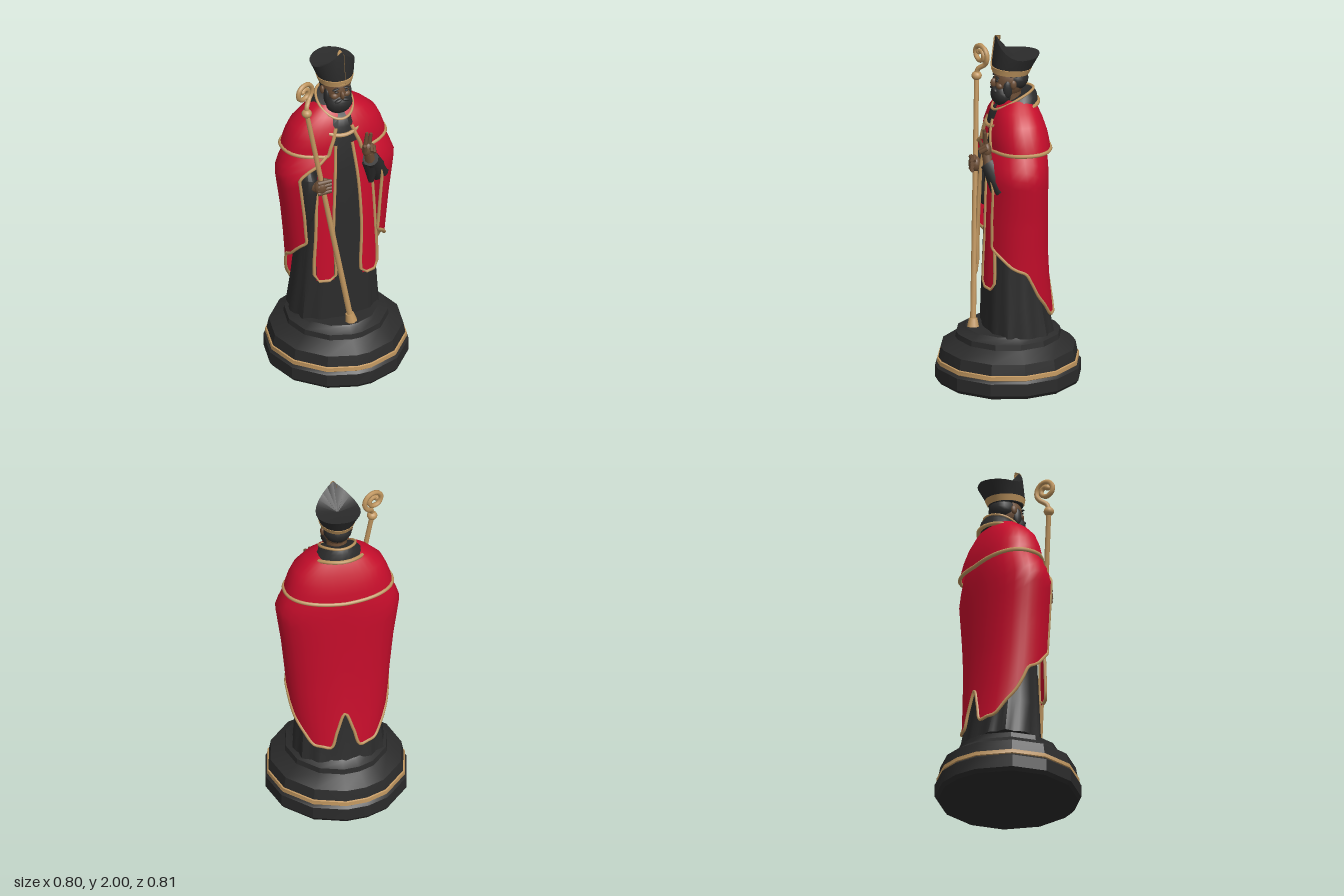
import * as THREE from 'three';
import { toCreasedNormals } from 'three/addons/utils/BufferGeometryUtils.js';

const V = (x, y, z) => new THREE.Vector3(x, y, z);
const rad = THREE.MathUtils.degToRad;

// Piecewise linear lookup in rows of [key, value, value...]
function lookup(table, k) {
  if (k <= table[0][0]) return table[0].slice(1);
  for (let i = 1; i < table.length; i++) {
    const a = table[i - 1], b = table[i];
    if (k <= b[0]) return a.slice(1).map((v, j) => v + (b[j + 1] - v) * (k - a[0]) / (b[0] - a[0]));
  }
  return table[table.length - 1].slice(1);
}

// Point on a rounded cross-section; deg 0 is the back, 90 the left, 180 the front
function oval(deg, y, a, zBack, zFront, pow = 1, zMid = (zBack + zFront) / 2) {
  const s = Math.sin(rad(deg)), c = Math.cos(rad(deg));
  const p = v => Math.sign(v) * Math.abs(v) ** pow;
  return V(a * p(s), y, zMid + p(c) * (c > 0 ? zBack - zMid : zMid - zFront));
}
const angles = (n, from = 0, to = 360) => Array.from({ length: n + 1 }, (_, i) => from + (to - from) * i / n);

// Surface through rows of points, rows running upwards; optional end caps
function loft(rows, cap = false, crease = 0.7) {
  const pos = [], idx = [], n = rows[0].length;
  rows.flat().forEach(p => pos.push(p.x, p.y, p.z));
  for (let i = 0; i < rows.length - 1; i++) for (let j = 0; j < n - 1; j++) {
    const a = i * n + j, b = a + n;
    idx.push(a, b, a + 1, a + 1, b, b + 1);
  }
  if (cap) [rows[0], rows[rows.length - 1]].forEach((row, top) => {
    const c = row.slice(1).reduce((s, p) => s.add(p), V(0, 0, 0)).divideScalar(n - 1);
    const k = pos.length / 3, o = top ? (rows.length - 1) * n : 0;
    pos.push(c.x, c.y, c.z);
    for (let j = 0; j < n - 1; j++) top ? idx.push(k, o + j + 1, o + j) : idx.push(k, o + j, o + j + 1);
  });
  const g = new THREE.BufferGeometry();
  g.setAttribute('position', new THREE.Float32BufferAttribute(pos, 3));
  g.setIndex(idx);
  return toCreasedNormals(g, crease);
}

export function createModel() {
  const model = new THREE.Group();
  const material = (name, color, side = THREE.FrontSide) =>
    Object.assign(new THREE.MeshStandardMaterial({ color, side }), { name });
  const black = material('black cloth', 0x2b2b2b, THREE.DoubleSide);
  const red = material('red cloth', 0xc60d2b, THREE.DoubleSide);
  const gold = material('gold', 0xc0965f);
  const skin = material('skin', 0x6b4d35);

  function add(name, geo, mat, parent = model) {
    const m = new THREE.Mesh(geo, mat);
    m.name = name;
    parent.add(m);
    return m;
  }
  const trim = (name, pts, r = 0.009, closed = false) =>
    add(name, new THREE.TubeGeometry(new THREE.CatmullRomCurve3(pts, closed), pts.length * 3, r, 6, closed), gold);
  function ball(name, mat, x, y, z, sx, sy, sz) {
    const m = add(name, new THREE.SphereGeometry(1, 14, 10), mat);
    m.position.set(x, y, z);
    m.scale.set(sx, sy, sz);
    return m;
  }
  // Tapered round bar between two points
  function bar(name, mat, p, q, r1, r2, sides = 8) {
    const m = add(name, new THREE.CylinderGeometry(r2, r1, p.distanceTo(q), sides), mat);
    m.position.copy(p).lerp(q, 0.5);
    m.quaternion.setFromUnitVectors(V(0, 1, 0), q.clone().sub(p).normalize());
    return m;
  }

  // Faceted plinth with a gold band
  const corners = [0, 28, 58, 85, 103, 122, 152, 180, 208, 238, 263, 275, 302, 332, 360];
  const plinthRing = ([r, y]) => corners.map(d => V(r * Math.cos(rad(d)), y, -r * 1.015 * Math.sin(rad(d)))).reverse();
  add('plinth', loft([[0.385, 0], [0.4, 0.02], [0.4, 0.09], [0.385, 0.105], [0.382, 0.13], [0.37, 0.195],
    [0.29, 0.25], [0.285, 0.28], [0.245, 0.3], [0.235, 0.31]].map(plinthRing), true, 0.45), black);
  add('plinthBand', loft([[0.386, 0.104], [0.391, 0.108], [0.389, 0.13], [0.38, 0.134]].map(plinthRing)), gold);

  // Long under-robe with folds fading upwards
  const robe = [[0.3, 0.25, -0.235, 0.14], [0.5, 0.235, -0.2, 0.135], [0.9, 0.2, -0.17, 0.125],
    [1.25, 0.2, -0.16, 0.12], [1.45, 0.17, -0.14, 0.095], [1.58, 0.09, -0.1, 0.06]];
  add('underRobe', loft(robe.map(([y, a, zb, zf]) => angles(48).map(d => {
    const fold = 1 + 0.035 * Math.cos(rad(d * 12)) * Math.max(0, 1 - (y - 0.3) / 0.8);
    return oval(d, y, a * fold, zb * fold, zf * fold, 0.8);
  })), true), black);

  // Mantle, open in front, with a hem that drops and splits at the back
  const mantle = [[0.4, 0.25, -0.24, 0.13], [0.6, 0.275, -0.218, 0.16], [0.8, 0.292, -0.205, 0.175],
    [1, 0.312, -0.202, 0.18], [1.25, 0.348, -0.202, 0.175], [1.33, 0.32, -0.2, 0.155],
    [1.42, 0.27, -0.19, 0.105], [1.5, 0.22, -0.16, 0.07]];
  const hem = [[0, 0.61], [8, 0.5], [16, 0.4], [40, 0.41], [70, 0.55], [90, 0.69], [110, 0.73], [143, 0.83]];
  const half = [8, 16, 28, 40, 55, 70, 80, 90, 100, 110, 120, 132, 143];
  const around = [...half.map(d => -d).reverse(), 0, ...half];
  function mantlePoint(d, t) {
    const h = lookup(hem, Math.abs(d))[0], y = h + (1.5 - h) * t;
    const [a, zb, zf] = lookup(mantle, y);
    const end = d > 0 ? 143 + 20 * THREE.MathUtils.smoothstep(y, 1.15, 1.4)
      : 131 + 32 * THREE.MathUtils.smoothstep(y, 1.24, 1.4);
    const k = THREE.MathUtils.smoothstep(Math.abs(d), 70, 143);
    return oval(d + Math.sign(d) * k * (end - 143), y, a, zb, zf, 0.88, -0.03);
  }
  const steps = angles(16, 0, 1);
  add('mantle', loft(steps.map(t => around.map(d => mantlePoint(d, t))), false, 0.9), red);
  trim('mantleTrim', [...steps.slice(1, 14).reverse().map(t => mantlePoint(-143, t)),
    ...around.map(d => mantlePoint(d, 0)), ...steps.slice(1, 14).map(t => mantlePoint(143, t))]);

  // Two front bands hanging beside the robe opening
  const bands = [[0.58, 0.085, 0.18, 0.162], [0.9, 0.085, 0.178, 0.153], [1.2, 0.07, 0.165, 0.14], [1.42, 0.05, 0.13, 0.105]];
  for (const s of [-1, 1]) {
    const rows = bands.map(([y, xi, xo, z]) => [0, 0.33, 0.67, 1].map(t =>
      V(s * (xi + (xo - xi) * t), y, z - 0.03 * t * t)));
    add('frontBand', loft(s > 0 ? rows.map(r => [...r].reverse()) : rows), red);
    trim('frontBandTrim', [...rows.map(r => r[0]).reverse(), ...rows[0].slice(1), ...rows.slice(1, 3).map(r => r[3])], 0.0095);
  }

  // Shoulder cape, open at the chest
  const cape = [[1.385, 0.302, -0.216, 0.125], [1.42, 0.295, -0.21, 0.125], [1.47, 0.278, -0.2, 0.118],
    [1.53, 0.25, -0.18, 0.1], [1.59, 0.185, -0.155, 0.075], [1.64, 0.11, -0.125, 0.03]];
  const capeRows = cape.map(([y, a, zb, zf], i) => {
    const e = 163 + i * 3;
    return angles(32, -e, e).map(d => oval(d, y - (i ? 0 : 0.02 * (1 - Math.abs(Math.sin(rad(d))))), a, zb, zf, 0.85));
  });
  add('shoulderCape', loft(capeRows, false, 0.9), red);
  trim('capeTrim', [...capeRows.slice(1, 4).reverse().map(r => r[0]), ...capeRows[0],
    ...capeRows.slice(1, 4).map(r => r[32])], 0.011);

  // Raised collar dipping to a point in front
  function collarRing(a, zb, zf, yb, yf) {
    return angles(24).map(d => {
      const p = oval(d, 0, a, zb, zf);
      p.y = yb + (yf - yb) * ((1 - Math.cos(rad(d))) / 2) ** 1.5;
      return p;
    });
  }
  const outer = collarRing(0.15, -0.165, 0.118, 1.615, 1.485);
  const inner = collarRing(0.1, -0.14, 0.09, 1.685, 1.575);
  add('collar', loft([outer, collarRing(0.128, -0.158, 0.108, 1.66, 1.53), inner], true), black);
  trim('collarOuterTrim', outer.slice(1), 0.012, true);
  trim('collarInnerTrim', inner.slice(1), 0.008, true);

  // Head with hair, beard and face
  bar('neck', skin, V(0, 1.58, -0.02), V(0, 1.7, -0.015), 0.06, 0.055, 12);
  ball('head', skin, 0, 1.735, -0.005, 0.076, 0.1, 0.085);
  ball('hair', black, 0, 1.745, -0.035, 0.08, 0.07, 0.078);
  ball('beard', black, 0, 1.658, 0.04, 0.078, 0.066, 0.058);
  ball('nose', skin, 0, 1.725, 0.082, 0.013, 0.026, 0.02);
  for (const s of [-1, 1]) {
    ball('ear', skin, s * 0.08, 1.73, -0.01, 0.012, 0.026, 0.018);
    ball('sideburn', black, s * 0.067, 1.7, 0.02, 0.015, 0.05, 0.026);
    ball('cheek', skin, s * 0.035, 1.715, 0.058, 0.024, 0.02, 0.02);
    ball('eye', black, s * 0.03, 1.745, 0.072, 0.012, 0.006, 0.008);
    ball('eyebrow', black, s * 0.032, 1.762, 0.07, 0.022, 0.006, 0.01).rotation.z = s * -0.15;
    ball('moustache', black, s * 0.022, 1.693, 0.082, 0.026, 0.01, 0.014).rotation.z = s * -0.3;
  }

  // Pointed headdress with a cleft top, headband and front stripe
  const hatRing = (a, zb, zf, yb, yf) => angles(24).map(d => {
    const p = oval(d, 0, a, zb, zf);
    p.y = yb + (yf - yb) * (1 - Math.cos(rad(d))) / 2;
    return p;
  });
  const rim = angles(24).map(d => {
    const p = oval(d, 1.88, 0.125, -0.175, 0.072);
    const f = 1 - Math.abs(p.x) / 0.125;
    p.y += Math.cos(rad(d)) < 0 ? 0.12 * f : 0.01 * f;
    return p;
  });
  add('headdress', loft([hatRing(0.09, -0.11, 0.084, 1.77, 1.785), hatRing(0.106, -0.142, 0.092, 1.825, 1.835), rim,
    rim.map(p => V(p.x * 0.05, 1.87, -0.04 + p.z * 0.05))], true), black);
  add('headband', loft([hatRing(0.094, -0.115, 0.09, 1.772, 1.787), hatRing(0.104, -0.133, 0.096, 1.805, 1.822),
    hatRing(0.098, -0.13, 0.088, 1.806, 1.823)]), gold);
  const stripe = [[1.8, 0.094, 0.014], [1.835, 0.097, 0.014], [1.985, 0.078, 0.014], [2, 0.075, 0.003]];
  add('headdressStripe', loft(stripe.map(([y, z, w]) => [V(-w, y, z - 0.03), V(-w, y, z), V(w, y, z), V(w, y, z - 0.03), V(-w, y, z - 0.03)]), true), gold);

  // Sleeves
  const sleeve = [[0.95, 0.03, 0.02, 0.1], [1.02, 0.052, -0.01, 0.125], [1.16, 0.056, -0.02, 0.142],
    [1.24, 0.048, -0.02, 0.135], [1.29, 0.03, -0.01, 0.09]];
  add('rightSleeve', loft(sleeve.map(([y, a, zb, zf]) => angles(14).map(d => oval(d, y, a, zb, zf).add(V(-0.205, 0, 0)))), true), black);
  bar('leftSleeve', black, V(0.22, 1.17, 0.07), V(0.14, 1.31, 0.15), 0.065, 0.046, 10);
  bar('leftSleeveDrape', black, V(0.155, 1.14, 0.12), V(0.15, 1.28, 0.13), 0.018, 0.052, 10);

  // Staff with ferrule, knob and spiral crook
  const foot = V(0, 0.31, 0.2), top = V(-0.233, 1.69, 0.12);
  const along = t => foot.clone().lerp(top, t);
  bar('staff', gold, foot, top, 0.017, 0.014);
  bar('staffFerrule', gold, foot, along(0.035), 0.034, 0.024);
  ball('staffKnob', gold, top.x, top.y, top.z, 0.029, 0.026, 0.029);
  const crook = [top.clone(), V(-0.228, 1.73, 0.113)];
  for (let i = 0; i <= 17; i++) {
    const a = rad(-50 + i * 32), r = 0.062 - 0.0026 * i;
    const dx = r * Math.cos(a);
    crook.push(V(-0.238 + dx, 1.81 + r * Math.sin(a), 0.097 - dx * 0.4));
  }
  add('staffCrook', new THREE.TubeGeometry(new THREE.CatmullRomCurve3(crook), 60, 0.014, 7), gold);
  ball('crookTip', gold, crook.at(-1).x, crook.at(-1).y, crook.at(-1).z, 0.016, 0.016, 0.016);

  // Right hand gripping the staff
  bar('rightWrist', skin, V(-0.2, 1.19, 0.1), V(-0.165, 1.205, 0.15), 0.032, 0.03);
  ball('rightPalm', skin, -0.158, 1.205, 0.15, 0.042, 0.048, 0.034);
  for (let i = 0; i < 4; i++) {
    const y = 1.172 + i * 0.022;
    bar('rightFinger', skin, V(-0.185, y, 0.165), V(-0.108, y + 0.008, 0.176), 0.013, 0.011, 6);
  }
  bar('rightThumb', skin, V(-0.15, 1.25, 0.155), V(-0.11, 1.235, 0.165), 0.014, 0.011, 6);

  // Left hand raised in blessing
  bar('leftWrist', skin, V(0.14, 1.3, 0.145), V(0.125, 1.36, 0.155), 0.03, 0.028);
  ball('leftPalm', skin, 0.122, 1.38, 0.155, 0.036, 0.046, 0.028);
  for (let i = 0; i < 2; i++) {
    bar('leftRaisedFinger', skin, V(0.105 + i * 0.022, 1.4, 0.158), V(0.112 + i * 0.024, 1.495 - i * 0.01, 0.165), 0.013, 0.009, 6);
    bar('leftCurledFinger', skin, V(0.14 + i * 0.014, 1.41 - i * 0.012, 0.16), V(0.128 + i * 0.014, 1.385 - i * 0.01, 0.198), 0.013, 0.012, 6);
  }
  bar('leftThumb', skin, V(0.1, 1.37, 0.165), V(0.092, 1.425, 0.185), 0.014, 0.01, 6);

  return model;
}
